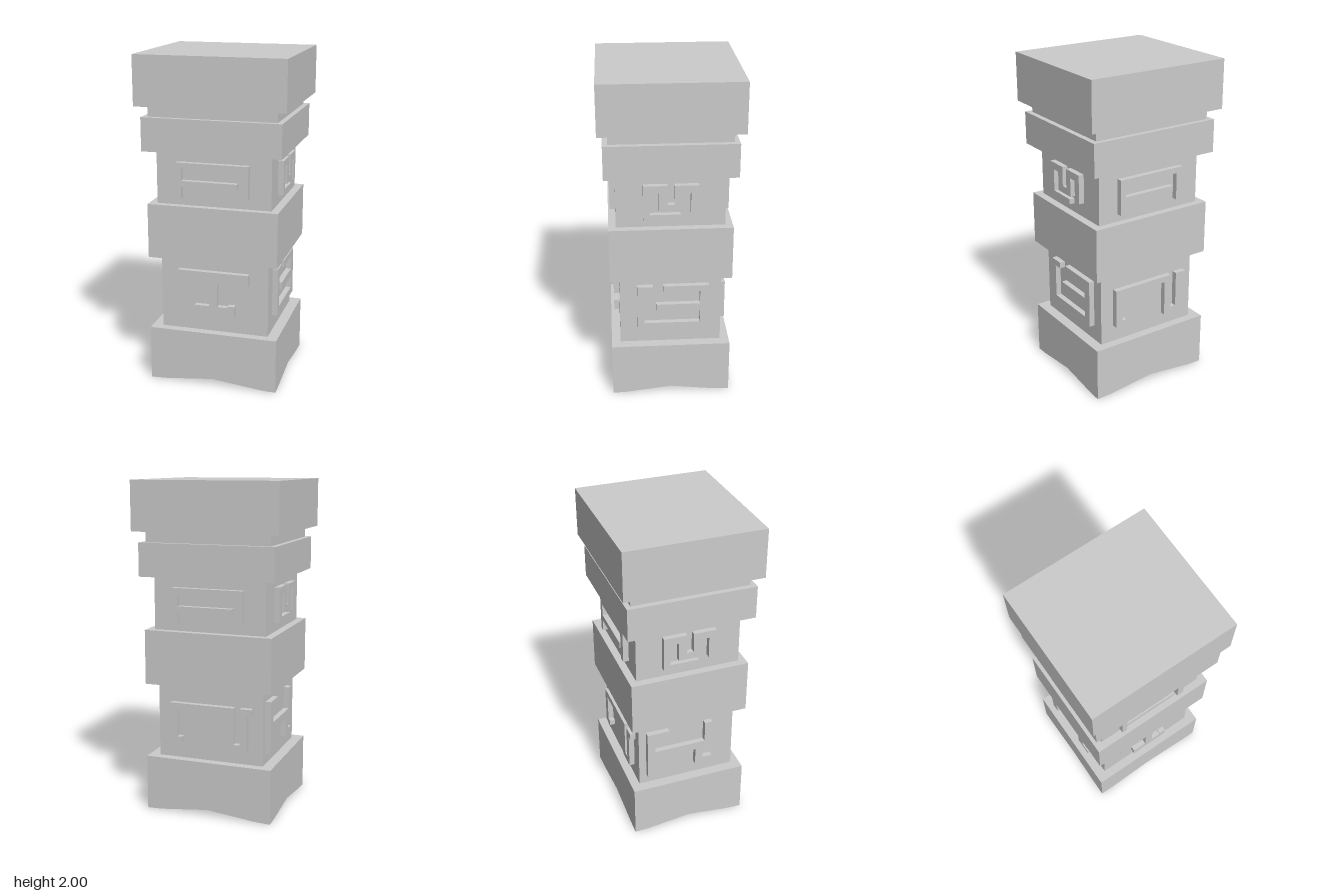
import * as THREE from 'three';

const material = new THREE.MeshStandardMaterial({ color: 0xcccccc, flatShading: true, side: THREE.DoubleSide });

// Stacked square blocks: name, half width, half depth, bottom, top
const BLOCKS = [
  ['base', 0.395, 0.36, 0, 0.335],
  ['lowerShaft', 0.331, 0.306, 0.335, 0.79],
  ['middleBlock', 0.395, 0.362, 0.79, 1.12],
  ['upperShaft', 0.347, 0.318, 1.12, 1.44],
  ['collar', 0.417, 0.383, 1.44, 1.64],
  ['neck', 0.384, 0.353, 1.64, 1.705],
  ['cap', 0.448, 0.412, 1.705, 2],
];

// Rise of the worn bottom edge at stations along each side
const STATIONS = [0, 0.12, 0.5, 0.88];
const RISE = [0, 0.004, 0.037, 0.004];
const CORNERS = [[1, 1], [1, -1], [-1, -1], [-1, 1]];

function ring(hx, hz, y, wavy = false) {
  const points = [];
  CORNERS.forEach(([ax, az], side) => {
    const [bx, bz] = CORNERS[(side + 1) % 4];
    STATIONS.forEach((t, i) => points.push([
      hx * (ax + (bx - ax) * t), y + (wavy ? RISE[i] : 0), hz * (az + (bz - az) * t),
    ]));
  });
  return points;
}

// Hollow skin through a series of rings
function shell(rings) {
  const v = [];
  for (let k = 0; k + 1 < rings.length; k++) {
    const lo = rings[k], hi = rings[k + 1];
    for (let j = 0; j < lo.length; j++) {
      const n = (j + 1) % lo.length;
      v.push(...lo[j], ...lo[n], ...hi[n], ...lo[j], ...hi[n], ...hi[j]);
    }
  }
  const geometry = new THREE.BufferGeometry();
  geometry.setAttribute('position', new THREE.Float32BufferAttribute(v, 3));
  geometry.computeVertexNormals();
  return geometry;
}

// Relief outlines: position across the face, height
const ARCH = [[-0.22, 1.38], [0.217, 1.38], [0.217, 1.18], [0.174, 1.18], [0.174, 1.346], [-0.187, 1.346],
  [-0.187, 1.272], [0.15, 1.272], [0.15, 1.235], [-0.187, 1.235], [-0.187, 1.165], [-0.22, 1.165]];
const MEANDER = [[-0.16, 1.385], [-0.02, 1.385], [-0.02, 1.267], [0.02, 1.267], [0.02, 1.385], [0.16, 1.385],
  [0.16, 1.21], [0.114, 1.21], [0.114, 1.341], [0.066, 1.341], [0.066, 1.225], [-0.07, 1.225], [-0.07, 1.341],
  [-0.12, 1.341], [-0.12, 1.207], [0.055, 1.207], [0.055, 1.175], [-0.16, 1.175]];
const PILLAR = [[-0.22, 0.72], [0.217, 0.72], [0.217, 0.65], [0.026, 0.65], [0.026, 0.505], [0.09, 0.505],
  [0.09, 0.515], [0.132, 0.515], [0.132, 0.447], [-0.08, 0.447], [-0.08, 0.44], [-0.115, 0.44],
  [-0.115, 0.505], [-0.026, 0.505], [-0.026, 0.65], [-0.22, 0.65]];
const MAZE = [[-0.2, 0.728], [-0.105, 0.728], [-0.105, 0.69], [-0.16, 0.69], [-0.16, 0.48], [0.177, 0.48],
  [0.177, 0.56], [-0.087, 0.56], [-0.087, 0.606], [0.177, 0.606], [0.177, 0.693], [-0.045, 0.693],
  [-0.045, 0.73], [0.23, 0.73], [0.23, 0.433], [-0.2, 0.433]];
const GATE = [[-0.245, 0.683], [0.158, 0.683], [0.158, 0.46], [0.198, 0.46], [0.198, 0.683], [0.27, 0.683],
  [0.27, 0.64], [0.24, 0.64], [0.24, 0.42], [0.113, 0.42], [0.113, 0.645], [-0.2, 0.645], [-0.2, 0.475],
  [-0.17, 0.475], [-0.17, 0.44], [-0.245, 0.44]];
const BRANCH = [[-0.26, 0.72], [-0.12, 0.72], [-0.12, 0.68], [-0.21, 0.68], [-0.21, 0.585], [0.11, 0.585],
  [0.11, 0.72], [0.16, 0.72], [0.16, 0.535], [0.1, 0.535], [0.1, 0.46], [0.16, 0.46], [0.16, 0.42],
  [0.05, 0.42], [0.05, 0.535], [-0.21, 0.535], [-0.21, 0.4], [-0.26, 0.4]];

export function createModel() {
  const model = new THREE.Group();
  model.name = 'carvedPillar';

  const add = (name, geometry) => {
    const mesh = new THREE.Mesh(geometry, material);
    mesh.name = name;
    model.add(mesh);
    return mesh;
  };

  // Blocks, each with the ledge joining it to the one below; open underneath
  BLOCKS.forEach(([name, hx, hz, y0, y1], i) => {
    const rings = [ring(hx, hz, y0, i === 0), ring(hx, hz, y1)];
    if (i > 0) rings.unshift(ring(BLOCKS[i - 1][1], BLOCKS[i - 1][2], y0));
    if (i === BLOCKS.length - 1) rings.push(ring(0, 0, y1));
    add(name, shell(rings));
  });

  // Raised carvings; quarter turns run front, right, back, left in the drawing order
  const carve = (name, outline, block, turn) => {
    const shape = new THREE.Shape(outline.map(([x, y]) => new THREE.Vector2(x, y)));
    const geometry = new THREE.ExtrudeGeometry(shape, { depth: 0.034, bevelEnabled: false });
    geometry.translate(0, 0, turn % 2 ? block[1] : block[2]);
    add(name, geometry).rotation.y = turn * Math.PI / 2;
  };
  [PILLAR, MAZE, GATE, BRANCH].forEach((o, k) => carve('lowerCarving' + (k + 1), o, BLOCKS[1], k));
  [ARCH, MEANDER, ARCH, MEANDER].forEach((o, k) => carve('upperCarving' + (k + 1), o, BLOCKS[3], k));

  return model;
}
